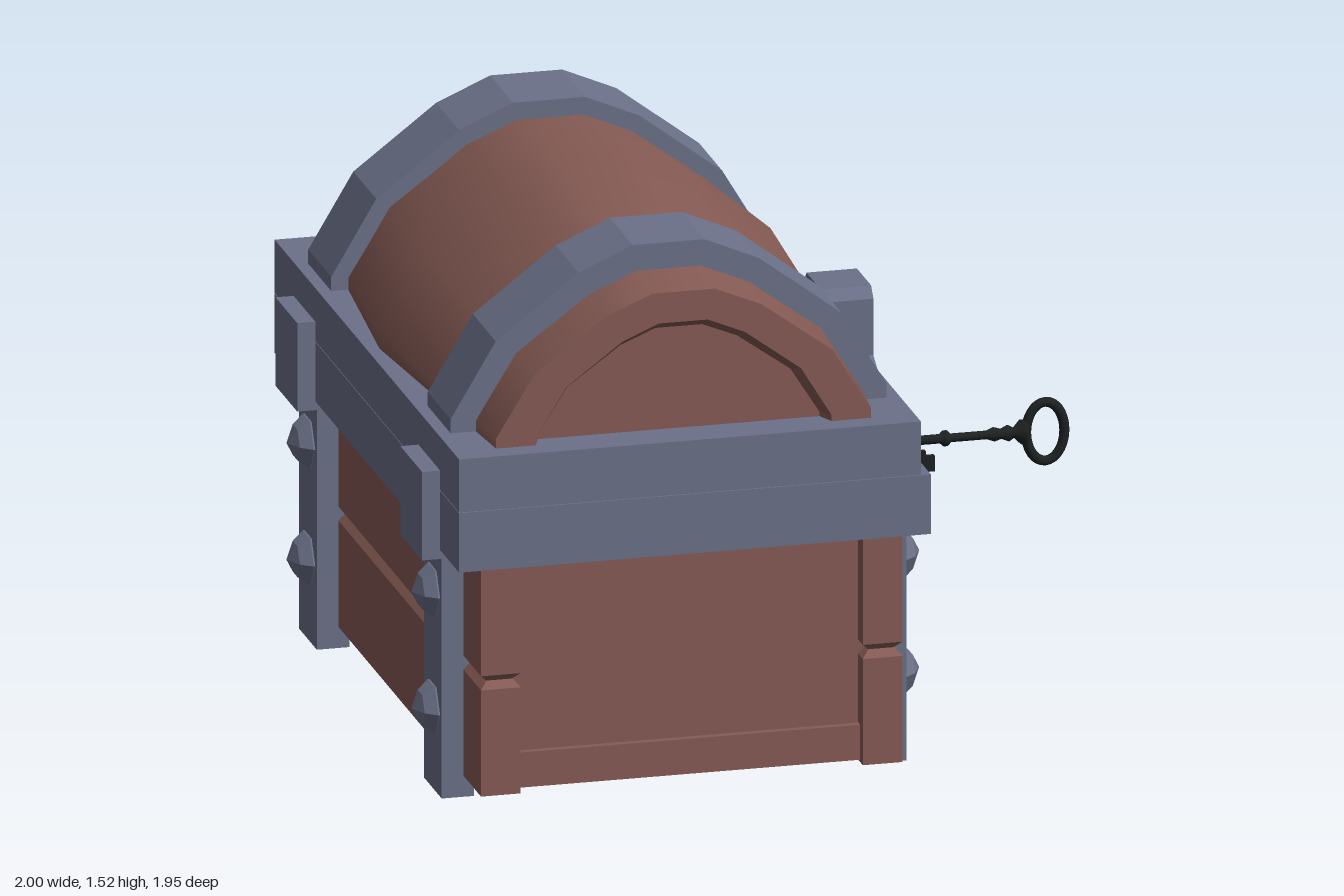
import * as THREE from 'three';

const material = (name, color) => {
  const m = new THREE.MeshStandardMaterial({ color });
  m.name = name;
  return m;
};

// Faceted normals for crisp low-poly parts
function facet(geometry) {
  const g = geometry.index ? geometry.toNonIndexed() : geometry;
  g.computeVertexNormals();
  return g;
}

// Skin through equal-length rings (counter-clockwise about the loft axis), with optional flat caps
function loft(rings, capStart = true, capEnd = true) {
  const n = rings[0].length, pos = rings.flat(2), index = [];
  for (let i = 0; i < rings.length - 1; i++) {
    for (let j = 0; j < n; j++) {
      const a = i * n + j, b = i * n + (j + 1) % n;
      index.push(a, b, b + n, a, b + n, a + n);
    }
  }
  const last = (rings.length - 1) * n;
  for (let j = 1; j < n - 1; j++) {
    if (capStart) index.push(0, j + 1, j);
    if (capEnd) index.push(last, last + j, last + j + 1);
  }
  const g = new THREE.BufferGeometry();
  g.setAttribute('position', new THREE.Float32BufferAttribute(pos, 3));
  g.setIndex(index);
  g.computeVertexNormals();
  return g;
}

// Outline mirrored left to right; half runs from bottom to top on the positive side
const mirrored = half => [...half, ...half.map(([x, y]) => [-x, y]).reverse()];
const toShape = pts => new THREE.Shape(pts.map(p => new THREE.Vector2(...p)));

export function createModel() {
  const model = new THREE.Group();
  model.name = 'treasureChest';
  const wood = material('brownWood', 0x865b54);
  const metal = material('blueGreyMetal', 0x6b7189);
  const black = material('blackIron', 0x1d2121);
  const CX = -0.3; // middle of the chest across x

  const add = (name, geometry, mat, parent = model) => {
    const mesh = new THREE.Mesh(geometry, mat);
    mesh.name = name;
    parent.add(mesh);
    return mesh;
  };
  const box = (name, mat, x0, x1, y0, y1, z0, z1) => {
    const mesh = add(name, new THREE.BoxGeometry(x1 - x0, y1 - y0, z1 - z0), mat);
    mesh.position.set((x0 + x1) / 2, (y0 + y1) / 2, (z0 + z1) / 2);
    return mesh;
  };
  // Outline in (z, y) extruded along x
  const plateX = (name, mat, shape, x0, x1) => {
    const g = new THREE.ExtrudeGeometry(shape, { depth: x1 - x0, bevelEnabled: false, curveSegments: 10 });
    g.rotateY(Math.PI / 2).translate(x0, 0, 0);
    return add(name, g, mat);
  };

  // Long side planks with a V groove between the boards
  const plankLevels = [[0.06, 0], [0.36, 0], [0.38, 0.02], [0.4, 0], [0.72, 0]];
  for (const [x0, x1] of [[-0.88, -0.77], [0.18, 0.29]]) {
    const rings = plankLevels.map(([y, i]) => [
      [x1 - i, y, 0.94 - i], [x1 - i, y, -0.94 + i], [x0 + i, y, -0.94 + i], [x0 + i, y, 0.94 - i],
    ]);
    add('sidePlanks', facet(loft(rings)), wood);
  }

  // Recessed end panels with a sill along the bottom
  box('bodyCore', wood, -0.81, 0.22, 0.066, 0.72, -0.89, 0.89);
  box('endSills', wood, -0.78, 0.19, 0.066, 0.165, -0.91, 0.91);

  // Rims of body and lid
  box('bodyRim', metal, -0.95, 0.36, 0.71, 0.878, -0.975, 0.975);
  box('lidRim', metal, -0.95, 0.332, 0.88, 1.03, -0.975, 0.975);

  // Straps with faceted studs, and hinges at the hinge side
  const studProfile = [[0.077, -0.01], [0.077, 0.004], [0.05, 0.036], [0, 0.06]]
    .map(p => new THREE.Vector2(...p));
  const studGeometry = facet(new THREE.LatheGeometry(studProfile, 6));
  for (const z of [-0.66, 0.66]) {
    box('strap', metal, 0.26, 0.35, 0, 0.72, z - 0.093, z + 0.093);
    box('strap', metal, -0.94, -0.85, 0, 0.72, z - 0.093, z + 0.093);
    box('hinge', metal, -1, -0.93, 0.685, 0.935, z - 0.115, z + 0.115);
    for (const y of [0.23, 0.56]) {
      for (const side of [1, -1]) {
        const stud = add('stud', studGeometry, metal);
        stud.position.set(side > 0 ? 0.35 : -0.94, y, z);
        stud.rotation.z = -side * Math.PI / 2;
      }
    }
  }

  // Barrel lid: one arch, widest in the middle
  const lid = new THREE.Group();
  lid.name = 'lid';
  lid.position.x = CX - 0.01;
  model.add(lid);
  const arch = mirrored([[0.605, 0.98], [0.605, 1.07], [0.48, 1.28], [0.25, 1.455], [0.1, 1.52]]);
  const archRing = (z, sx, sy) => arch.map(([x, y]) => [x * sx, 1 + (y - 1) * sy, z]);
  add('lidBarrel', loft([archRing(-0.91, 0.86, 0.83), archRing(0, 1, 1), archRing(0.91, 0.86, 0.83)],
    false, false), wood, lid);

  // Lid ends: flat frame around a recessed panel
  const endGeometry = facet(loft([
    archRing(0.91, 0.86, 0.83), archRing(0.91, 0.68, 0.665), archRing(0.86, 0.645, 0.61),
  ], false, true));
  for (const turn of [0, Math.PI]) {
    add('lidEnd', endGeometry, wood, lid).rotation.y = turn;
  }

  // Metal bands over the lid
  const bandGeometry = new THREE.ExtrudeGeometry(toShape(arch), { depth: 0.243, bevelEnabled: false });
  for (const z of [-0.753, 0.51]) {
    add('lidBand', bandGeometry, metal, lid).position.z = z;
  }

  // Clasp, lock plate and keyhole
  plateX('clasp', metal, toShape(mirrored([
    [0.14, 0.76], [0.14, 0.905], [0.1, 0.93], [0.1, 1.09], [0.075, 1.12],
  ])), 0.29, 0.43);
  plateX('lockPlate', metal, toShape(mirrored([
    [0.06, 0.51], [0.09, 0.535], [0.103, 0.58], [0.103, 0.7], [0.115, 0.78],
  ])), 0.28, 0.39);
  const hole = new THREE.Shape();
  hole.moveTo(-0.03, 0.565);
  hole.lineTo(0.03, 0.565);
  hole.lineTo(0.018, 0.63);
  hole.absarc(0, 0.655, 0.038, -0.9, Math.PI + 0.9, false);
  plateX('keyhole', black, hole, 0.388, 0.393);

  // Key: turned shaft, oval bow and toothed bit
  const key = new THREE.Group();
  key.name = 'key';
  key.position.y = 0.645;
  model.add(key);
  const shaft = [
    [0, 0.455], [0.013, 0.46], [0.013, 0.64], [0.022, 0.65], [0.022, 0.66], [0.012, 0.67], [0.012, 0.77],
    [0.02, 0.79], [0.014, 0.81], [0.023, 0.83], [0.014, 0.845], [0.034, 0.865], [0.034, 0.88], [0, 0.885],
  ].map(p => new THREE.Vector2(...p));
  add('keyShaft', new THREE.LatheGeometry(shaft, 12).rotateZ(-Math.PI / 2), black, key);

  const bow = [];
  for (let i = 0; i < 16; i++) {
    const a = i / 16 * Math.PI * 2;
    bow.push(new THREE.Vector3(0.933 + 0.053 * Math.cos(a), -0.003 + 0.083 * Math.sin(a), 0));
  }
  add('keyBow', new THREE.TubeGeometry(new THREE.CatmullRomCurve3(bow, true), 40, 0.014, 8, true), black, key);

  const bit = toShape([
    [0.52, 0], [0.52, -0.03], [0.49, -0.03], [0.49, -0.088], [0.545, -0.088], [0.545, -0.06],
    [0.565, -0.06], [0.565, -0.088], [0.625, -0.088], [0.625, -0.045], [0.6, -0.045], [0.6, -0.03],
    [0.545, -0.03], [0.545, 0],
  ]);
  add('keyBit', new THREE.ExtrudeGeometry(bit, { depth: 0.018, bevelEnabled: false }), black, key)
    .position.z = -0.009;

  return model;
}
